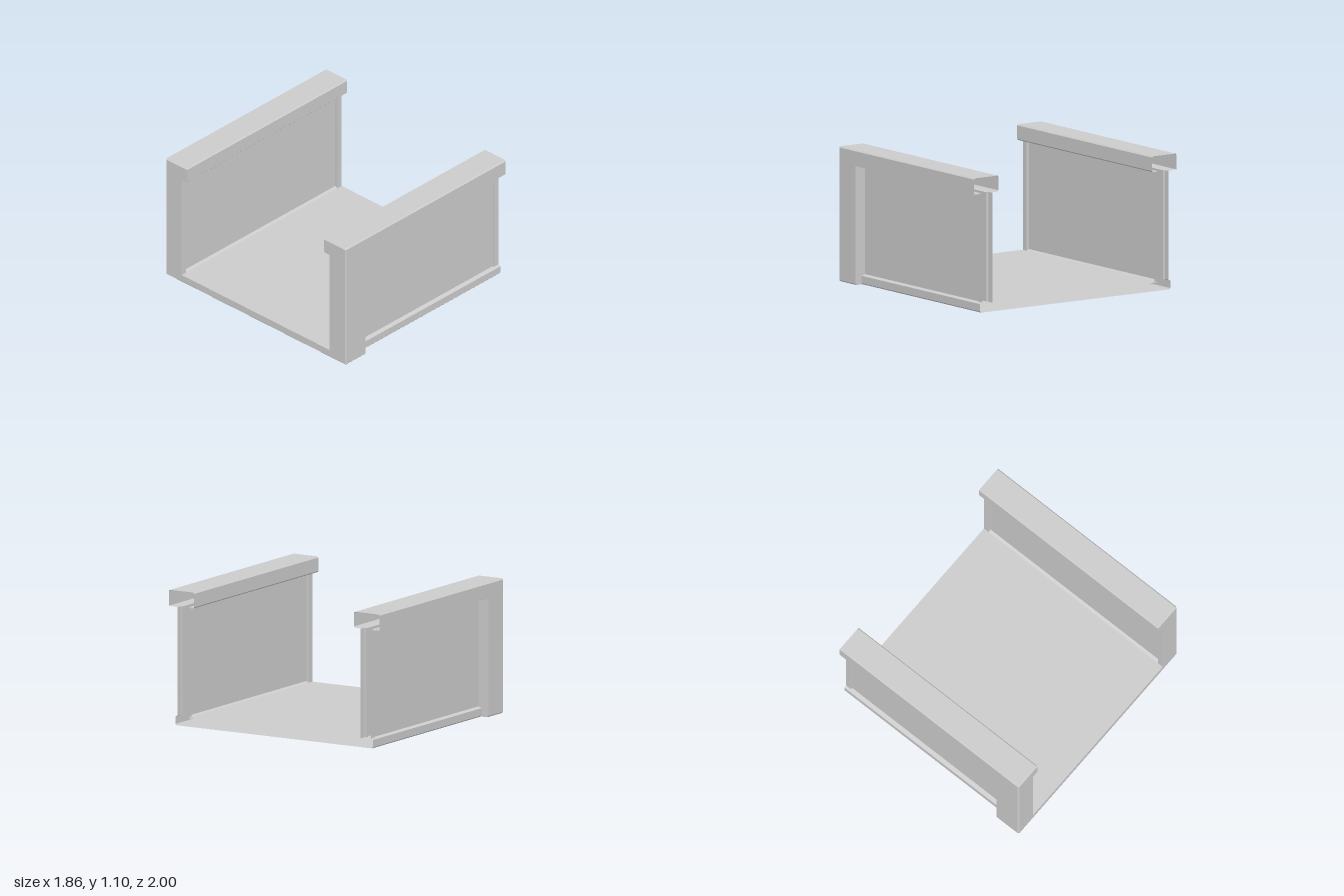
import * as THREE from 'three';

// Half of the U-shaped cross-section as [z, y], from the outer foot over the rail to the floor.
// foot: z of the bottom ledge, out / inn: z of the wall's outer and inner skin.
function halfSection(foot, out, inn) {
  return [
    [foot - 0.01, 0], [foot, 0.01], [foot, 0.07], [out, 0.08],            // foot ledge
    [out, 0.965],                                                         // outer wall skin
    [1, 0.97], [1, 1.09], [0.99, 1.1],                                    // rail outside
    [0.77, 1.1], [0.76, 1.09], [0.76, 0.98], [0.77, 0.97], [0.81, 0.97],  // rail inside
    [inn, 0.965], [inn, 0.08],                                            // inner wall skin
    [0.82, 0.07],                                                         // floor edge
  ];
}

export function createModel() {
  const group = new THREE.Group();
  const material = new THREE.MeshStandardMaterial({ color: 0xcccccc, side: THREE.DoubleSide });

  // Stations along x: [x, foot, outer skin, inner skin]
  const stations = [
    [-0.92, 1, 1, 0.82],         // closed end post
    [-0.88, 1, 1, 0.82],
    [-0.88, 1, 1, 0.845],        // inner panel begins
    [-0.70, 1, 1, 0.845],
    [-0.70, 0.94, 0.905, 0.845], // outer panel begins
    [0.88, 0.94, 0.905, 0.845],
    [0.88, 0.94, 0.92, 0.82],    // raised frame at the open end
    [0.93, 0.94, 0.92, 0.82],
  ];
  const rings = stations.map(([x, foot, out, inn]) => {
    const half = halfSection(foot, out, inn);
    const loop = [...half, ...half.map(([z, y]) => [-z, y]).reverse()];
    return loop.map(([z, y]) => new THREE.Vector3(x, y, z));
  });

  // Slightly bevelled end ring
  const clamp = THREE.MathUtils.clamp;
  rings.unshift(rings[0].map(p =>
    new THREE.Vector3(-0.93, clamp(p.y, 0.01, 1.09), clamp(p.z, -0.99, 0.99))));

  const parts = { floor: [], sideWalls: [], topRails: [], endFace: [] };
  const addTriangle = (list, a, b, c) => {
    if (new THREE.Triangle(a, b, c).getArea() > 1e-7) list.push(a, b, c);
  };

  // Skin between neighbouring rings; the +x end stays open
  const count = rings[0].length;
  for (let j = 0; j < count; j++) {
    const n = (j + 1) % count;
    const h = Math.min(j, count - 2 - j); // same index on both mirrored halves
    const name = h < 0 || h === count / 2 - 1 ? 'floor'
      : h >= 4 && h <= 12 ? 'topRails' : 'sideWalls';
    for (let k = 0; k < rings.length - 1; k++) {
      const [a, b, c, d] = [rings[k][j], rings[k][n], rings[k + 1][n], rings[k + 1][j]];
      addTriangle(parts[name], a, d, c);
      addTriangle(parts[name], a, c, b);
    }
  }

  // Closed end
  const contour = rings[0].map(p => new THREE.Vector2(p.z, p.y));
  for (const [a, b, c] of THREE.ShapeUtils.triangulateShape(contour, [])) {
    addTriangle(parts.endFace, rings[0][a], rings[0][b], rings[0][c]);
  }

  for (const [name, points] of Object.entries(parts)) {
    const geometry = new THREE.BufferGeometry().setFromPoints(points);
    geometry.computeVertexNormals();
    const mesh = new THREE.Mesh(geometry, material);
    mesh.name = name;
    group.add(mesh);
  }
  group.name = 'channelSection';
  return group;
}
